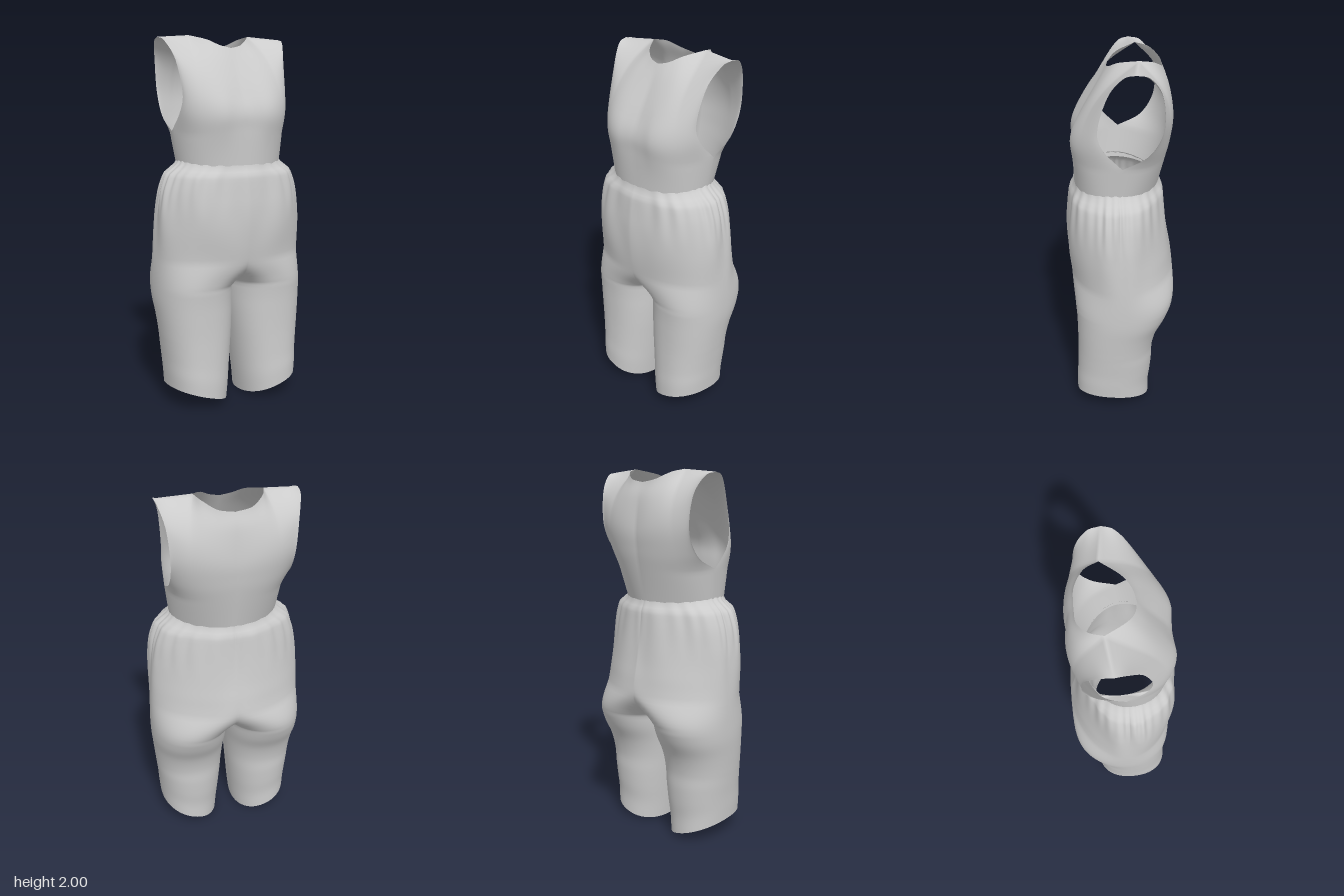
import * as THREE from 'three';
import { mergeGeometries, mergeVertices } from 'three/addons/utils/BufferGeometryUtils.js';

const V = (x, y, z) => new THREE.Vector3(x, y, z);
const spline = pts => new THREE.CatmullRomCurve3(pts.map(p => V(...p)), false, 'catmullrom', 0.5);
const smooth = THREE.MathUtils.smoothstep;

// Waist seam shared by both parts, and roundness of the front and back halves
const WAIST = { half: 0.29, y: 1.32, mid: 0.02, depth: 0.225 };
const FRONT_POWER = 2.25, BACK_POWER = 1.85;

// Surface grid from point(u, v); side = -1 mirrors it across x = 0
function grid(point, nu, nv, side, flip) {
  const pos = [], index = [];
  for (let j = 0; j <= nv; j++)
    for (let i = 0; i <= nu; i++) {
      const p = point(i / nu, j / nv);
      pos.push(p.x * side, p.y, p.z);
    }
  for (let j = 0; j < nv; j++)
    for (let i = 0; i < nu; i++) {
      const a = j * (nu + 1) + i, b = a + 1, c = a + nu + 1, d = c + 1;
      if ((side < 0) !== flip) index.push(a, c, b, b, c, d);
      else index.push(a, b, c, b, d, c);
    }
  const g = new THREE.BufferGeometry();
  g.setAttribute('position', new THREE.Float32BufferAttribute(pos, 3));
  g.setIndex(index);
  return g;
}

// Weld the panels along their seams so shading runs smoothly across
function sew(name, panels, material) {
  const g = mergeVertices(mergeGeometries(panels), 1e-4);
  g.computeVertexNormals();
  const mesh = new THREE.Mesh(g, material);
  mesh.name = name;
  return mesh;
}

// Bodice quarter: a patch between waist, centre line, side seam with armhole, and neckline with shoulder.
// flow is a gentler side line that shapes the cloth away from the armhole's edge.
function bodicePanel(centre, armhole, flow, neck, dir, bust) {
  const L = spline(centre), A = spline(armhole), N = spline(neck);
  const neckPoint = N.getPoint(1), tip = A.getPoint(1), underarm = A.getPoint(0);
  const seam = V(WAIST.half, WAIST.y, WAIST.mid);
  const F = spline([seam.toArray(), ...flow, tip.toArray()]);
  const power = dir > 0 ? FRONT_POWER : BACK_POWER;
  const top = u => u < 0.6 ? N.getPoint(u / 0.6) : neckPoint.clone().lerp(tip, (u - 0.6) / 0.4);
  const edge = v => v < 0.2 ? seam.clone().lerp(underarm, v / 0.2) : A.getPoint((v - 0.2) / 0.8);
  const waist = u => {
    const a = u * Math.PI / 2, c = Math.max(0, Math.cos(a));
    return V(WAIST.half * Math.sin(a) ** (2 / power), WAIST.y, WAIST.mid + dir * WAIST.depth * c ** (2 / power));
  };
  // how far a border curve departs from the straight line between its ends
  const bulge = (curve, u) => curve(u).sub(curve(0).lerp(curve(1), u));
  return (u, v) => {
    const soft = F.getPoint(v);
    const p = L.getPoint(v).lerp(soft, u)
      .addScaledVector(edge(v).sub(soft), u ** 4)
      .addScaledVector(bulge(waist, u), 1 - v * v)
      .addScaledVector(bulge(top, u), v ** 5);
    const swell = Math.exp(-(((p.x - 0.15) / 0.1) ** 2) - ((p.y - 1.6) / 0.13) ** 2);
    p.z += bust * swell * smooth(u, 0, 0.25) * smooth(1 - u, 0, 0.4);
    return p;
  };
}

// Trouser half-width, front z and back z for every 0.1 of height, hem to waist
const sections = spline([
  [0.38, 0.255, -0.155], [0.386, 0.255, -0.155], [0.391, 0.25, -0.165], [0.398, 0.247, -0.172],
  [0.405, 0.245, -0.175], [0.415, 0.245, -0.2], [0.425, 0.247, -0.25], [0.427, 0.255, -0.285],
  [0.425, 0.27, -0.293], [0.422, 0.285, -0.283], [0.418, 0.292, -0.265], [0.41, 0.29, -0.25],
  [0.392, 0.28, -0.238], [0.355, 0.268, -0.228], [0.33, 0.26, -0.22]
]);
const CROTCH = 0.66, TOP = 1.34;

// One trouser half: an open half ring at the hips that closes into a leg below the crotch
function trouserPoint(u, v) {
  const y = Math.round(TOP * (1 - v) * 1e4) / 1e4;
  const atWaist = smooth(y, 1.27, TOP);
  const s = sections.getPoint(y / 1.4)
    .lerp(V(WAIST.half, WAIST.mid + WAIST.depth, WAIST.mid - WAIST.depth), atWaist);
  const inner = y <= CROTCH
    ? 0.055 * (1 - y / CROTCH) ** 1.25
    : -s.x * smooth(y, CROTCH - 0.12, CROTCH + 0.24) * Math.min(1, (y - CROTCH) / 0.16);
  const cx = (s.x + inner) / 2, a = (s.x - inner) / 2;
  const power = u < 0.5 ? BACK_POWER + 0.3 * (1 - smooth(y, 0.55, 0.85)) : FRONT_POWER;
  const limit = inner >= 0 ? Math.PI : Math.acos(-((cx / a) ** (power / 2)));
  const t = (2 * u - 1) * limit, c = Math.cos(t), n = Math.sin(t);
  const bend = w => Math.sign(w) * Math.abs(w) ** (2 / power);

  // uneven gathers below the waist and longer drape folds
  const gather = 0.016 * smooth(y, 1.02, 1.28) * (1 - 0.6 * atWaist)
    * Math.sin(30 * t + 3 * Math.sin(3 * t)) * (0.65 + 0.35 * Math.sin(7 * t + 1));
  const drape = 0.016 * smooth(y, 0.75, 1.1) * (1 - atWaist) * Math.sin(9 * t + 5 * y + Math.sin(4 * t));
  const k = 1 + gather + drape;

  let x = (cx + a * bend(c)) * k;
  if (inner <= 0 && (u === 0 || u === 1)) x = 0;
  const z = ((s.y + s.z) / 2 + (s.y - s.z) / 2 * bend(n)) * k;

  // slanted hem, and waist edge rising over the hips
  const hem = Math.max(0, (x - 0.05) * 0.32 + z * 0.1) * Math.max(0, 1 - y / 0.4);
  const lift = smooth(y, 1.25, TOP) * (0.02 * Math.max(0, c) ** 4 - 0.01);
  return V(x, y + hem + lift, z);
}

export function createModel() {
  const cloth = new THREE.MeshStandardMaterial({ color: 0xcccccc, roughness: 0.9, side: THREE.DoubleSide });
  const group = new THREE.Group();
  group.name = 'jumpsuit';

  const front = bodicePanel(
    [[0, 1.32, 0.245], [0, 1.5, 0.248], [0, 1.6, 0.245], [0, 1.7, 0.2], [0, 1.85, 0.115], [0, 1.93, 0.07]],
    [[0.315, 1.5, 0], [0.308, 1.6, 0.095], [0.302, 1.7, 0.12], [0.32, 1.87, 0.07], [0.352, 1.965, 0], [0.365, 1.985, -0.06]],
    [[0.31, 1.57, 0.085], [0.315, 1.81, 0.085]],
    [[0, 1.93, 0.07], [0.06, 1.945, 0.055], [0.115, 1.975, 0.01], [0.178, 2, -0.085]],
    1, 0.015);
  const back = bodicePanel(
    [[0, 1.32, -0.205], [0, 1.5, -0.24], [0, 1.6, -0.255], [0, 1.7, -0.26], [0, 1.85, -0.24], [0, 1.935, -0.21]],
    [[0.315, 1.5, 0], [0.315, 1.57, -0.13], [0.318, 1.7, -0.2], [0.332, 1.87, -0.19], [0.356, 1.965, -0.13], [0.365, 1.985, -0.06]],
    [[0.312, 1.56, -0.11], [0.326, 1.81, -0.175]],
    [[0, 1.935, -0.21], [0.085, 1.95, -0.203], [0.15, 1.985, -0.155], [0.178, 2, -0.085]],
    -1, 0);
  const bodice = [], trousers = [];
  for (const side of [1, -1]) {
    bodice.push(grid(front, 30, 40, side, false), grid(back, 30, 40, side, true));
    trousers.push(grid(trouserPoint, 200, 67, side, false));
  }
  group.add(sew('bodice', bodice, cloth), sew('trousers', trousers, cloth));
  return group;
}
